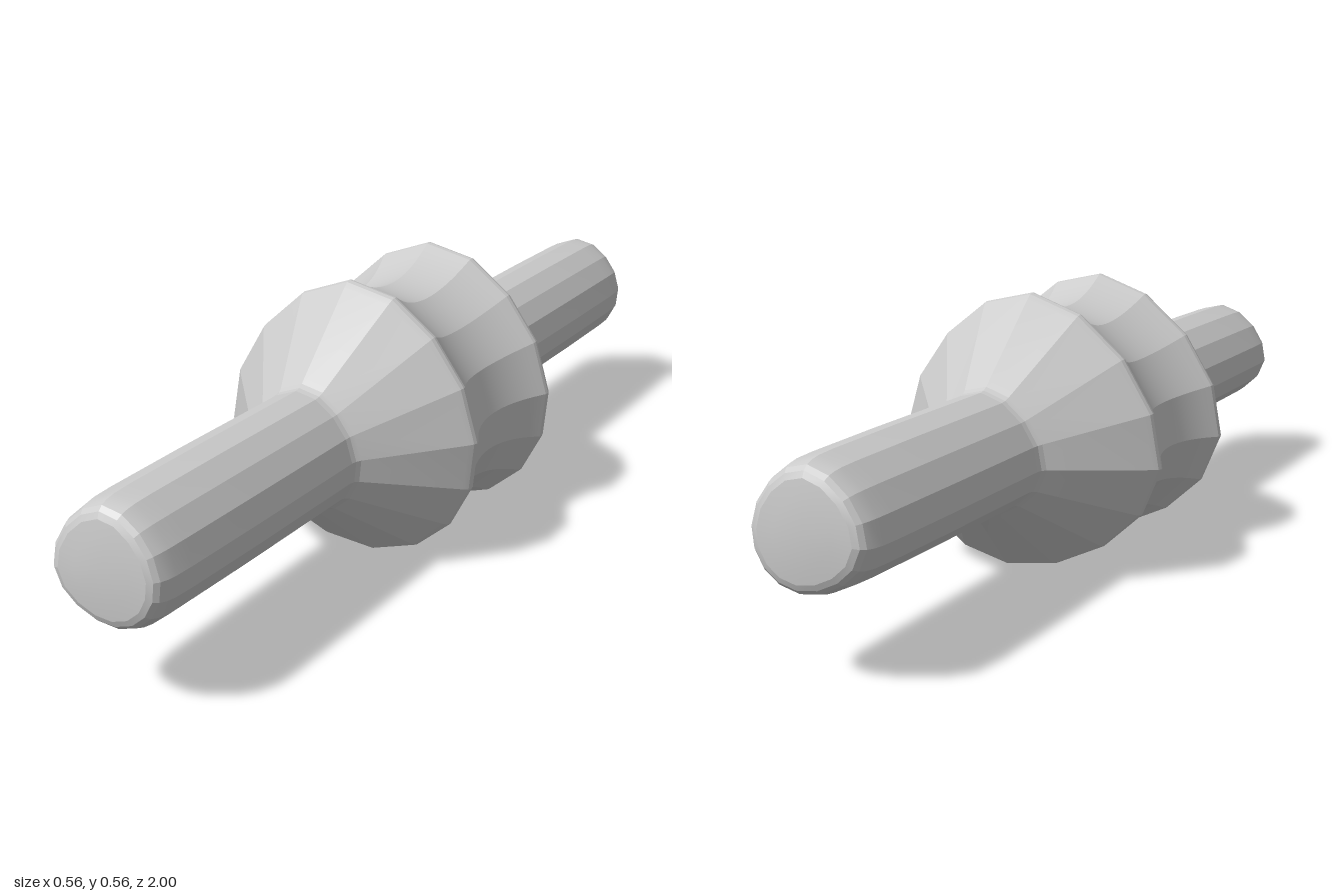
import * as THREE from 'three';
import { toCreasedNormals } from 'three/addons/utils/BufferGeometryUtils.js';

// Uneven 16-sided cross-section at the widest rim, counter-clockwise from +z
const OUTLINE = [
  [0.281, 0.272], [0.25, 0.38], [0.185, 0.472], [0.098, 0.54],
  [-0.003, 0.563], [-0.107, 0.525], [-0.2, 0.443], [-0.262, 0.34],
  [-0.281, 0.232], [-0.24, 0.135], [-0.16, 0.063], [-0.055, 0.015],
  [0.052, 0.002], [0.15, 0.03], [0.224, 0.09], [0.27, 0.175],
];
const CX = 0.006, CY = 0.275; // shaft axis

// Skin a list of [z, scale] stations, z increasing, with the scaled outline
function loft(stations) {
  const n = OUTLINE.length, pos = [], idx = [];
  for (const [z, s] of stations) {
    for (const [x, y] of OUTLINE) pos.push(CX + (x - CX) * s, CY + (y - CY) * s, z);
  }
  for (let i = 0; i < stations.length - 1; i++) {
    for (let j = 0; j < n; j++) {
      const k = (j + 1) % n;
      const a = i * n + j, b = i * n + k, c = a + n, d = b + n;
      if (stations[i][1] > 0) idx.push(a, b, d);
      if (stations[i + 1][1] > 0) idx.push(a, d, c);
      else if (stations[i][1] > 0) continue;
      else idx.push(a, d, c);
    }
  }
  const g = new THREE.BufferGeometry();
  g.setAttribute('position', new THREE.Float32BufferAttribute(pos, 3));
  g.setIndex(idx);
  return toCreasedNormals(g, 0.2);
}

export function createModel() {
  const group = new THREE.Group();
  const material = new THREE.MeshStandardMaterial({ color: 0xcccccc });
  const add = (name, stations) => {
    const mesh = new THREE.Mesh(loft(stations), material);
    mesh.name = name;
    group.add(mesh);
  };
  const mirror = (half) => half.map(([z, s]) => [-z, s]).reverse();

  // Hub: concave waist between two rounded rims, then cones down to the shaft
  const waist = [];
  for (let i = -8; i <= 8; i++) {
    const t = i / 8;
    waist.push([t * 0.152, 0.83 + 0.15 * t * t]);
  }
  const cone = [[0.16, 0.995], [0.168, 1], [0.177, 0.992], [0.188, 0.965], [0.36, 0.455], [0.37, 0.436], [0.382, 0.428]];
  add('hub', [...mirror(cone), ...waist, ...cone]);

  // Shafts with softly rounded, slightly domed ends
  const shaft = [
    [0.382, 0.428], [0.7, 0.428], [0.9, 0.422], [0.945, 0.416], [0.966, 0.405], [0.98, 0.388],
    [0.989, 0.36], [0.994, 0.32], [0.998, 0.2], [1, 0],
  ];
  add('frontShaft', shaft);
  add('backShaft', mirror(shaft));
  return group;
}
